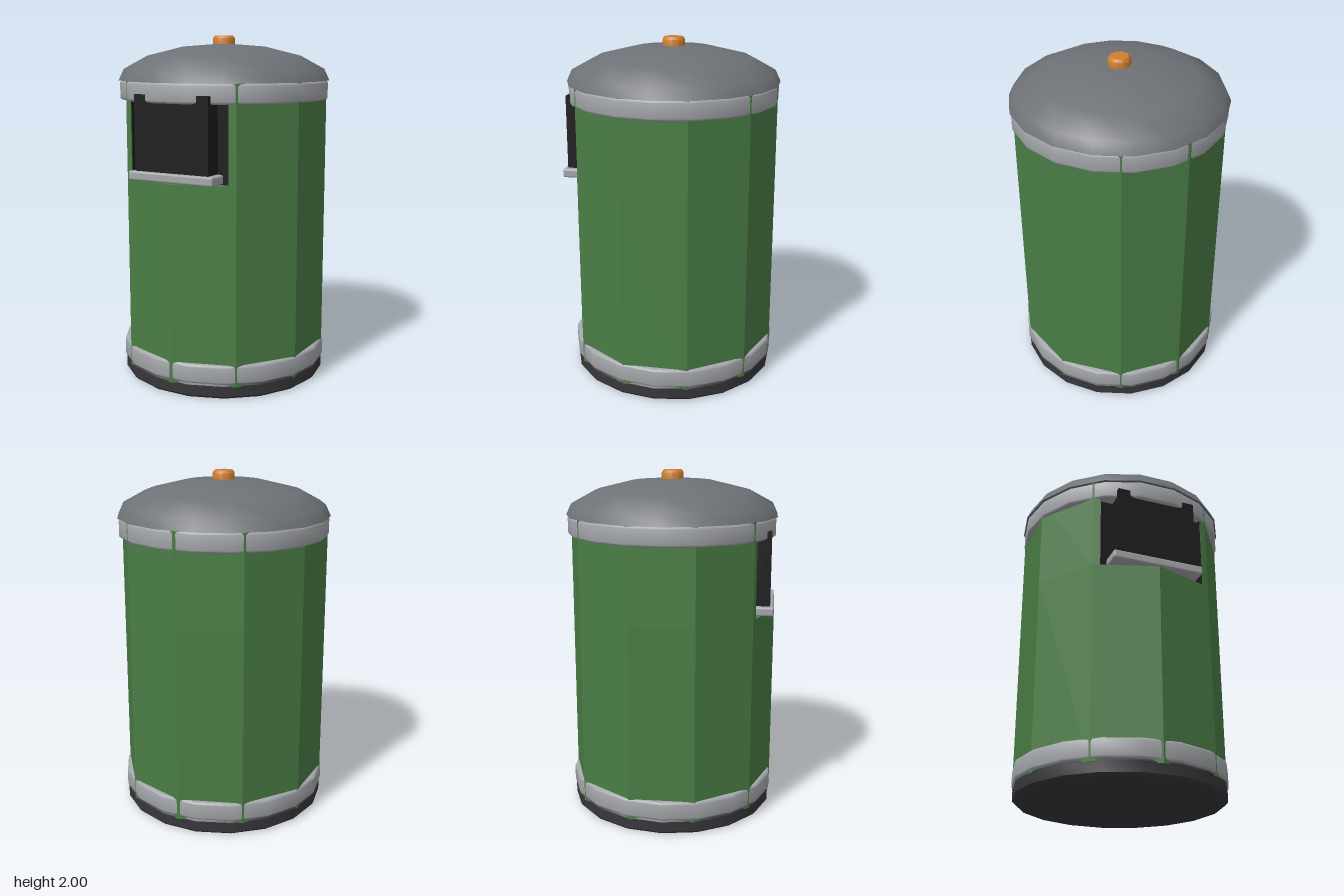
import * as THREE from 'three';
import { toCreasedNormals } from 'three/addons/utils/BufferGeometryUtils.js';
import { RoundedBoxGeometry } from 'three/addons/geometries/RoundedBoxGeometry.js';

const material = (name, color) => new THREE.MeshStandardMaterial({ name, color });

export function createModel() {
  const group = new THREE.Group();
  const green = material('green paint', 0x4a7d45);
  const lightGrey = material('light grey metal', 0xa4a7ab);
  const lidGrey = material('lid grey', 0x6e7176);
  const charcoal = material('charcoal base', 0x37373b);
  const black = material('black opening', 0x1d1d1e);
  const orange = material('orange knob', 0xd07f2c);

  const add = (name, geometry, mat, x = 0, y = 0, z = 0) => {
    const mesh = new THREE.Mesh(geometry, mat);
    mesh.name = name;
    mesh.position.set(x, y, z);
    group.add(mesh);
    return mesh;
  };

  // Turned part from [radius, height] pairs, with a corner on the x axis
  const turned = (profile, sides, crease = 0.5) => toCreasedNormals(
    new THREE.LatheGeometry(profile.map(p => new THREE.Vector2(...p)), sides, Math.PI / 2), crease);

  // Upright prism from [x, z] outline points
  const prism = (outline, bottom, top) => {
    const shape = new THREE.Shape(outline.map(([x, z]) => new THREE.Vector2(x, -z)));
    return new THREE.ExtrudeGeometry(shape, { depth: top - bottom, bevelEnabled: false })
      .rotateX(-Math.PI / 2).translate(0, bottom, 0);
  };

  // Ten-sided body, corner facing the front; the upper half is notched for the opening
  const R = 0.604, openX = 0.315, backZ = 0.47;
  const corner = i => [R * Math.sin(i * Math.PI / 5), R * Math.cos(i * Math.PI / 5)];
  const ring = Array.from({ length: 10 }, (_, i) => corner(i));
  const openZ = R - openX * Math.tan(Math.PI / 10);
  const notched = [
    [-openX, openZ], [-openX, backZ], [openX, backZ], [openX, openZ], ...ring.slice(1),
  ];
  add('lowerBody', prism(ring, 0.07, 1.2), green);
  add('upperBody', prism(notched, 1.2, 1.745), green);

  // Base
  add('base', turned([[0, 0], [0.588, 0], [0.603, 0.015], [0.603, 0.075], [0.595, 0.085], [0, 0.085]], 18), charcoal);

  // Bands round the body
  const band = [[0.5, 0], [0.598, 0], [0.607, 0.005], [0.61, 0.015], [0.61, 0.095],
    [0.607, 0.105], [0.598, 0.11], [0.5, 0.11], [0.5, 0]];
  for (const [name, y] of [['lowerBand', 0.085], ['upperBand', 1.635]]) {
    add(name, turned(band, 18, 0.9), lightGrey, 0, y);
  }

  // Domed lid and knob
  add('lid', turned([[0, 1.745], [0.618, 1.745], [0.588, 1.81], [0.45, 1.885], [0.24, 1.937], [0, 1.955]], 18, 0.75), lidGrey);
  add('knob', turned([[0, 1.94], [0.065, 1.94], [0.065, 1.985], [0.053, 2], [0, 2]], 10, 0.7), orange);

  // Opening: dark backing, side linings, projecting inner box and sill
  add('openingBack', new THREE.BoxGeometry(openX * 2, 0.5, 0.008), black, 0, 1.452, backZ + 0.004);
  for (const s of [-1, 1]) {
    add('openingSide', new THREE.BoxGeometry(0.006, 0.5, openZ - backZ - 0.004), black,
      s * (openX - 0.003), 1.452, (openZ + backZ) / 2 - 0.002);
  }
  add('innerBox', new THREE.BoxGeometry(0.47, 0.46, 0.11), black, 0, 1.45, 0.525);
  add('sill', new RoundedBoxGeometry(0.54, 0.052, 0.13, 2, 0.012), lightGrey, 0, 1.232, 0.537);

  return group;
}
